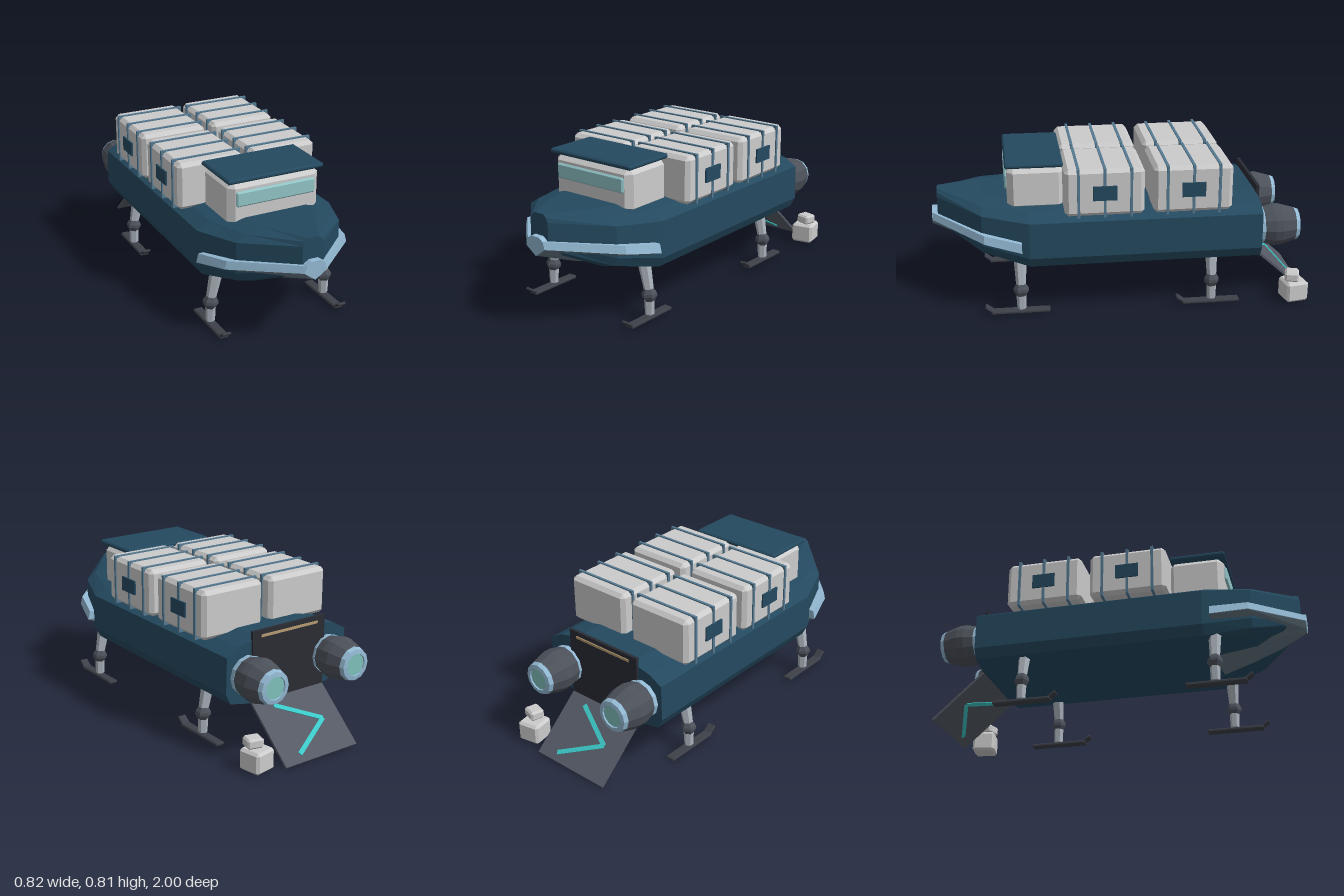
import * as THREE from 'three';
import { ConvexGeometry } from 'three/addons/geometries/ConvexGeometry.js';

const mat = (color, side = THREE.FrontSide) =>
  new THREE.MeshStandardMaterial({ color, flatShading: true, side });
const navy = mat(0x24495f), paleBlue = mat(0x93b9d3, THREE.DoubleSide), grey = mat(0xcccccc);
const steel = mat(0x627580), strut = mat(0xaab2bb), dark = mat(0x3d4048), gunmetal = mat(0x4c515a);
const strapBlue = mat(0x557a92), glass = mat(0x92c4c8), teal = mat(0x3cc8c8), glow = mat(0x7fc0bb);
const black = mat(0x2a2c34), rampGrey = mat(0x555a65), tan = mat(0xb59a70);

function add(parent, name, geometry, material, x = 0, y = 0, z = 0) {
  const mesh = new THREE.Mesh(geometry, material);
  mesh.name = name;
  mesh.position.set(x, y, z);
  parent.add(mesh);
  return mesh;
}

const box = (w, h, d) => new THREE.BoxGeometry(w, h, d);

// Box with every edge cut by c
function chamferBox(w, h, d, c) {
  const points = [];
  const half = [w / 2, h / 2, d / 2];
  for (const sx of [-1, 1]) for (const sy of [-1, 1]) for (const sz of [-1, 1])
    for (let face = 0; face < 3; face++) {
      const p = half.map((v, k) => (k === face ? v : v - c));
      points.push(new THREE.Vector3(p[0] * sx, p[1] * sy, p[2] * sz));
    }
  return new ConvexGeometry(points);
}

// Mirrors half sections ([x, y] from bottom centre to top centre) and skins them from back to front
function loft(sections) {
  const pos = [], index = [];
  const rings = sections.map(({ z, half }) =>
    [...half, ...half.slice(1, -1).reverse().map(([x, y]) => [-x, y])].map(([x, y]) => [x, y, z]));
  const n = rings[0].length;
  rings.forEach(r => r.forEach(p => pos.push(...p)));
  for (let i = 0; i < rings.length - 1; i++)
    for (let j = 0; j < n; j++) {
      const a = i * n + j, b = i * n + (j + 1) % n;
      index.push(a, b, b + n, a, b + n, a + n);
    }
  const last = (rings.length - 1) * n;
  for (let j = 1; j < n - 1; j++) index.push(0, j + 1, j, last, last + j, last + j + 1);
  const g = new THREE.BufferGeometry();
  g.setAttribute('position', new THREE.Float32BufferAttribute(pos, 3));
  g.setIndex(index);
  const flat = g.toNonIndexed();
  flat.computeVertexNormals();
  return flat;
}

// Tapered cylinder between two points
function rod(parent, name, from, to, r0, r1, sides, material) {
  const a = new THREE.Vector3(...from), b = new THREE.Vector3(...to);
  const dir = b.clone().sub(a);
  const m = add(parent, name, new THREE.CylinderGeometry(r1, r0, dir.length(), sides), material);
  m.position.copy(a).add(b).multiplyScalar(0.5);
  m.quaternion.setFromUnitVectors(new THREE.Vector3(0, 1, 0), dir.normalize());
}

function buildHull(root) {
  const main = [[0, .25], [.25, .25], [.355, .272], [.383, .325], [.38, .515], [.31, .555], [.19, .582], [0, .582]];
  const section = (z, s, bottom, top) => ({
    z, half: main.map(([x, y]) => [x * s, bottom + (y - .25) / .332 * (top - bottom)]),
  });
  add(root, 'hull', loft([
    section(-.72, 1, .25, .582), section(.5, 1, .25, .585),
    section(.74, .76, .31, .594), section(.97, .15, .42, .605),
  ]), navy);

  // Bow: grey keel plate under a pale rub strip
  const bow = [
    { z: .54, w: .406, top: .415, low: .368, keel: .228 },
    { z: .73, w: .345, top: .445, low: .403, keel: .285 },
    { z: 1, w: .062, top: .478, low: .44, keel: .395 },
  ];
  add(root, 'bowKeelPlate', loft(bow.map(({ z, w, low, keel }, i) => ({
    z: z - .003, half: [[0, keel], [w * .45, keel + (low - keel) * .32], [w - .004, low], [0, low + .01 * i]],
  }))), steel);
  add(root, 'bowStrip', loft(bow.map(({ z, w, top, low }) => ({
    z, half: [[0, low], [w, low], [w - .012, top], [0, top]],
  }))), paleBlue);
  const nose = new THREE.Shape([[0, .395], [.062, .44], [.05, .478], [.025, .495], [-.025, .495], [-.05, .478], [-.062, .44]]
    .map(p => new THREE.Vector2(...p)));
  add(root, 'bowCap', new THREE.ExtrudeGeometry(nose, { depth: .04, bevelEnabled: false }), paleBlue, 0, 0, .961);
}

function buildCabin(root) {
  add(root, 'cabin', chamferBox(.51, .24, .3, .033), grey, 0, .66, .453);
  add(root, 'windshield', chamferBox(.44, .08, .03, .008), glass, 0, .693, .6);
  add(root, 'cabinRoof', chamferBox(.535, .025, .3, .008), navy, 0, .79, .463);
}

function buildContainers(root) {
  for (const side of [-1, 1]) for (const z of [.112, -.345]) {
    const g = new THREE.Group();
    g.name = 'cargoContainer';
    g.position.set(side * .208, .675, z);
    add(g, 'containerBody', chamferBox(.37, .25, .41, .02), grey);
    // Each strap is a thin frame around the body
    for (const dz of [-.135, 0, .135]) {
      for (const s of [-1, 1]) {
        add(g, 'strap', box(.382, .012, .014), strapBlue, 0, s * .125, dz);
        add(g, 'strap', box(.012, .25, .014), strapBlue, s * .185, 0, dz);
      }
    }
    add(g, 'sidePanel', box(.014, .076, .122), navy, side * .187, 0, 0);
    root.add(g);
  }
}

function buildEngine(root, x) {
  const g = new THREE.Group();
  g.name = 'engine';
  g.position.set(x, .405, -.71);
  g.rotation.x = -Math.PI / 2;
  const lathe = (name, pts, m) =>
    add(g, name, new THREE.LatheGeometry(pts.map(p => new THREE.Vector2(...p)), 12), m);
  lathe('engineCollar', [[0, 0], [.1, 0], [.102, .035], [0, .035]], paleBlue);
  lathe('engineBody', [[.1, .035], [.113, .09], [.112, .13], [.09, .205]], gunmetal);
  lathe('nozzleRing', [[.09, .205], [.082, .227], [.06, .23], [.057, .218]], paleBlue);
  lathe('nozzleGlow', [[.06, .222], [0, .222]], glow);
  root.add(g);
}

function buildRamp(root) {
  add(root, 'rearBulkhead', box(.46, .37, .016), black, 0, .435, -.722);
  add(root, 'bulkheadStrip', box(.36, .013, .006), tan, 0, .59, -.732);
  const g = new THREE.Group();
  g.name = 'loadingRamp';
  g.position.set(0, .25, -.72);
  g.rotation.x = -.728;
  add(g, 'rampPlate', box(.46, .012, .37), rampGrey, 0, 0, -.185);
  for (const s of [-1, 1]) {
    const bar = add(g, 'rampChevron', box(.275, .02, .024), teal, 0, 0, -.188 + s * .069);
    bar.rotation.y = -s * Math.atan2(.138, .235);
  }
  root.add(g);
}

function buildLeg(root, side, z) {
  const g = new THREE.Group();
  g.name = 'landingLeg';
  g.position.z = z;
  rod(g, 'upperStrut', [side * .3, .3, 0], [side * .333, .145, 0], .034, .025, 6, strut);
  rod(g, 'lowerStrut', [side * .333, .13, 0], [side * .335, .028, 0], .028, .024, 6, strut);
  const knee = add(g, 'knee', new THREE.LatheGeometry(
    [[0, -.032], [.026, -.032], [.04, -.008], [.04, .008], [.026, .032], [0, .032]].map(p => new THREE.Vector2(...p)), 6),
    gunmetal, side * .333, .133, 0);
  knee.rotation.z = side * .1;
  add(g, 'ski', chamferBox(.05, .018, .31, .005), dark, side * .335, .014, .005);
  const tip = add(g, 'skiTip', chamferBox(.046, .014, .056, .004), dark, side * .335, .031, .167);
  tip.rotation.x = -.65;
  root.add(g);
}

function buildCrates(root) {
  const big = add(root, 'largeCrate', chamferBox(.125, .112, .125, .013), grey, .345, .06, -.915);
  big.rotation.y = .18;
  const small = add(root, 'smallCrate', chamferBox(.085, .052, .075, .01), grey, .357, .145, -.9);
  small.rotation.y = -.25;
}

export function createModel() {
  const root = new THREE.Group();
  root.name = 'cargoShip';
  const body = new THREE.Group();
  body.name = 'ship';
  body.position.x = -.006;
  root.add(body);
  buildHull(body);
  buildCabin(body);
  buildContainers(body);
  buildRamp(body);
  buildCrates(body);
  for (const side of [-1, 1]) {
    buildEngine(body, side * .258);
    for (const z of [.55, -.465]) buildLeg(body, side, z);
  }
  return root;
}
